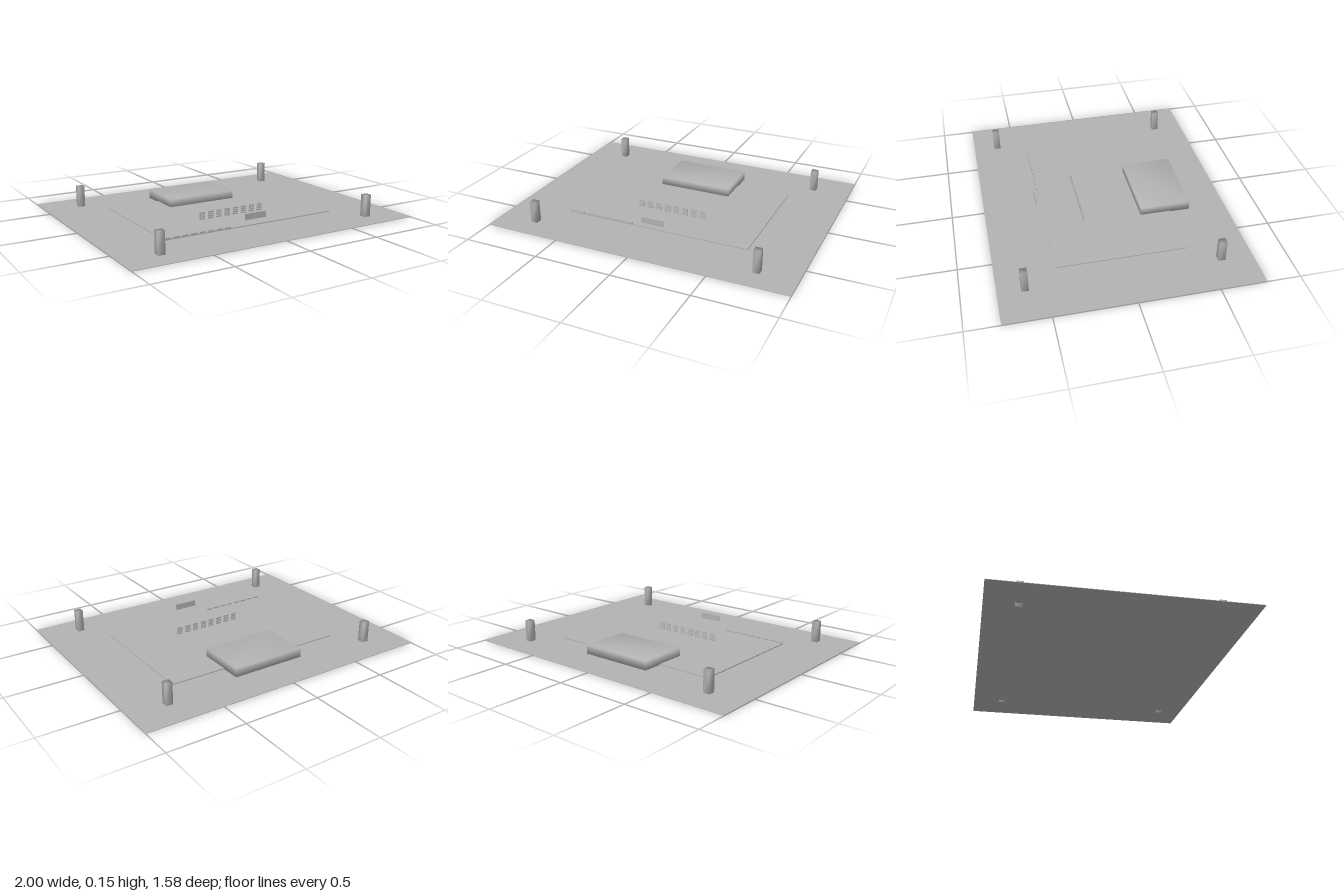
import * as THREE from 'three';
import { mergeVertices } from 'three/addons/utils/BufferGeometryUtils.js';

export function createModel() {
  const model = new THREE.Group();
  model.name = 'siteModel';
  const grey = new THREE.MeshStandardMaterial({ color: 0xb2b2b2 });
  grey.name = 'plain grey';
  grey.side = THREE.DoubleSide;

  // Box given by its limits; smooth boxes share corner normals
  function block(name, [x0, x1], [y0, y1], [z0, z1], smooth = false, parent = model) {
    let geometry = new THREE.BoxGeometry(x1 - x0, y1 - y0, z1 - z0);
    if (smooth) {
      geometry.deleteAttribute('normal');
      geometry.deleteAttribute('uv');
      geometry = mergeVertices(geometry);
      geometry.computeVertexNormals();
    }
    const mesh = new THREE.Mesh(geometry, grey);
    mesh.name = name;
    mesh.position.set((x0 + x1) / 2, (y0 + y1) / 2, (z0 + z1) / 2);
    parent.add(mesh);
    return mesh;
  }

  // Ground sheet and raised courtyard
  block('ground', [-1, 1], [0.001, 0.004], [-0.79, 0.79]);
  block('courtyard', [-0.62, 0.62], [0.003, 0.01], [-0.415, 0.42]);

  // Main building
  block('building', [-0.25, 0.25], [0.002, 0.065], [-0.545, -0.213], true);

  // Corner pillars, with small differences in how deep they stand
  const pillars = new THREE.Group();
  pillars.name = 'pillars';
  model.add(pillars);
  for (const [x, z, bottom, top] of [
    [-0.753, 0.624, 0.003, 0.145],
    [0.75, 0.624, 0, 0.15],
    [-0.753, -0.587, 0, 0.145],
    [0.75, -0.587, 0, 0.145],
  ]) {
    block('pillar', [x - 0.022, x + 0.022], [bottom, top], [z - 0.022, z + 0.022], true, pillars);
  }

  // Grid of free-standing window panels
  const windows = new THREE.Group();
  windows.name = 'windows';
  model.add(windows);
  for (let row = 0; row < 4; row++) {
    for (let col = 0; col < 8; col++) {
      const x = -0.2205 + col * 0.063;
      const y = 0.016 + row * 0.0133;
      block('window', [x - 0.02, x + 0.02], [y - 0.0045, y + 0.0045], [0.165, 0.168], false, windows);
    }
  }

  // Row of low kerbs along the front edge
  const kerbs = new THREE.Group();
  kerbs.name = 'kerbs';
  model.add(kerbs);
  for (let i = 0; i < 8; i++) {
    const x = -0.598 + i * 0.0595;
    block('kerb', [x - 0.021, x + 0.021], [0.009, 0.019], [0.412, 0.419], false, kerbs);
  }

  // Floating sign panel
  const sign = new THREE.Mesh(new THREE.PlaneGeometry(0.16, 0.04), grey);
  sign.name = 'signPanel';
  sign.position.set(0, 0.075, 0.45);
  model.add(sign);

  return model;
}
